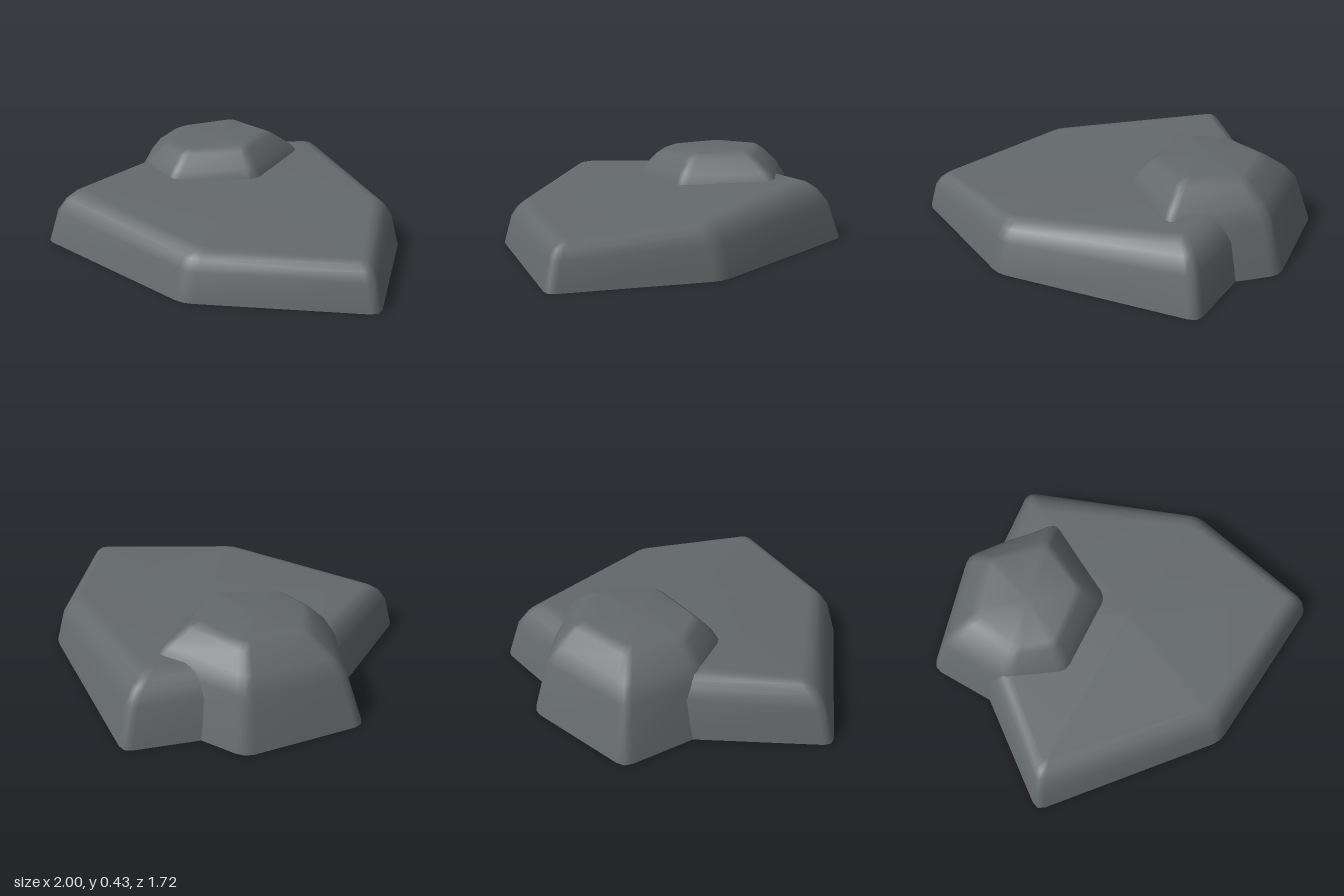
import * as THREE from 'three';

// Cut each corner of an outline of [x, z] points into a small three-point round.
function roundCorners(outline, d) {
  const points = outline.map(([x, z]) => new THREE.Vector2(x, z));
  const n = points.length;
  return points.flatMap((p, i) => {
    const toward = (q) => q.clone().sub(p).setLength(d).add(p);
    const a = toward(points[(i + n - 1) % n]);
    const b = toward(points[(i + 1) % n]);
    const mid = a.clone().add(b).multiplyScalar(0.25).addScaledVector(p, 0.5);
    return [a, mid, b];
  });
}

// Stone skinned from a ground outline to a smaller, tilted top outline.
// profile: [blend from ground to top outline, fraction of the top height]
function stoneGeometry(ground, top, topHeight, profile) {
  const lower = roundCorners(ground, 0.045);
  const upper = roundCorners(top, 0.03);
  const n = lower.length;
  const positions = [];
  const index = [];

  profile.forEach(([t, h]) => {
    for (let i = 0; i < n; i++) {
      const p = lower[i].clone().lerp(upper[i], t);
      positions.push(p.x, h * topHeight(upper[i].x, upper[i].y), p.y);
    }
  });
  for (let r = 0; r < profile.length - 1; r++) {
    for (let i = 0; i < n; i++) {
      const j = (i + 1) % n;
      const a = r * n + i, b = r * n + j;
      index.push(a, b, b + n, a, b + n, a + n);
    }
  }

  // Top cap shares its rim for a soft edge
  const center = upper.reduce((s, p) => s.add(p), new THREE.Vector2()).divideScalar(n);
  const topCenter = positions.length / 3;
  positions.push(center.x, topHeight(center.x, center.y), center.y);
  const rim = (profile.length - 1) * n;
  for (let i = 0; i < n; i++) index.push(rim + i, rim + (i + 1) % n, topCenter);

  // Flat underside has its own rim so the ground edge stays sharp
  const base = positions.length / 3;
  lower.forEach((p) => positions.push(p.x, 0, p.y));
  positions.push(center.x, 0, center.y);
  for (let i = 0; i < n; i++) index.push(base + (i + 1) % n, base + i, base + n);

  const geometry = new THREE.BufferGeometry();
  geometry.setAttribute('position', new THREE.Float32BufferAttribute(positions, 3));
  geometry.setIndex(index);
  geometry.computeVertexNormals();
  return geometry;
}

export function createModel() {
  const group = new THREE.Group();
  group.name = 'stones';
  const stone = new THREE.MeshStandardMaterial({ color: 0x64696b });
  stone.name = 'grey stone';

  const add = (name, geometry) => {
    const mesh = new THREE.Mesh(geometry, stone);
    mesh.name = name;
    group.add(mesh);
  };

  // Wide low slab, sloping down to the left
  add('slab', stoneGeometry(
    [[-0.85, -0.12], [-0.57, 0.87], [0.41, 0.67], [1.015, 0.03], [0.53, -0.575], [-0.41, -0.875]],
    [[-0.66, -0.11], [-0.49, 0.68], [0.36, 0.53], [0.87, 0.02], [0.46, -0.44], [-0.33, -0.64]],
    (x, z) => 0.262 - 0.061 * x - 0.033 * z,
    [[0, 0], [0.27, 0.62], [0.5, 0.84], [0.72, 0.95], [1, 1]],
  ));

  // Smaller, taller boulder set into the slab's edge
  add('boulder', stoneGeometry(
    [[-1.015, 0.045], [-0.66, 0.33], [-0.29, 0.33], [0.01, -0.1], [-0.22, -0.68], [-0.8, -0.505]],
    [[-0.7, -0.06], [-0.54, 0.13], [-0.36, 0.13], [-0.21, -0.12], [-0.33, -0.35], [-0.6, -0.33]],
    (x, z) => 0.412 - 0.055 * z,
    [[0, 0], [0.3, 0.6], [0.5, 0.77], [0.82, 0.94], [1, 1]],
  ));

  return group;
}
